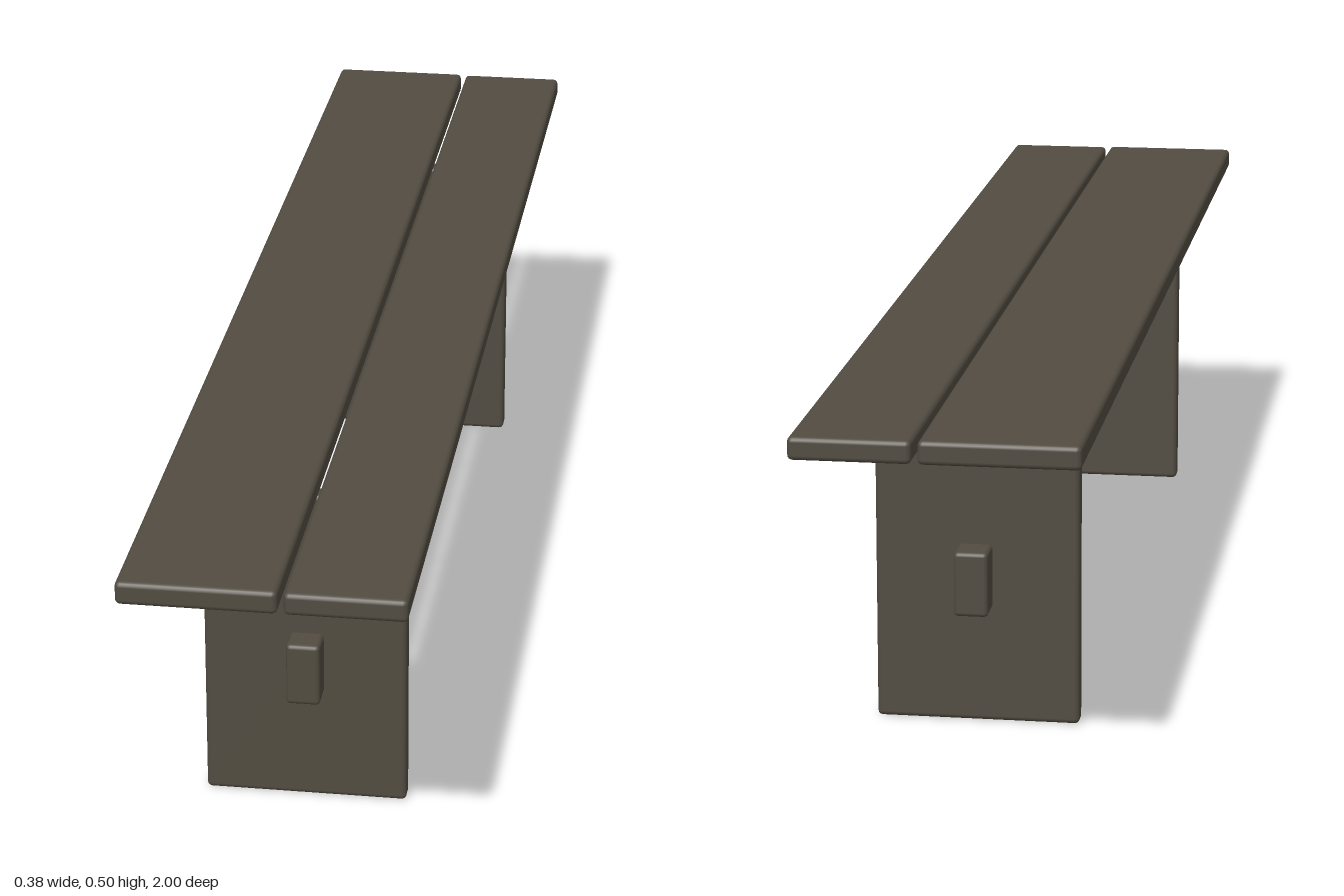
import * as THREE from 'three';
import { RoundedBoxGeometry } from 'three/addons/geometries/RoundedBoxGeometry.js';

export function createModel() {
  const bench = new THREE.Group();
  bench.name = 'bench';

  const darkWood = new THREE.MeshStandardMaterial({ color: 0x524c41 });
  darkWood.name = 'darkWood';

  // A board with softened edges, given by its [min, max] extents
  function board(name, [x0, x1], [y0, y1], [z0, z1], radius = 0.007) {
    const geometry = new RoundedBoxGeometry(x1 - x0, y1 - y0, z1 - z0, 2, radius);
    const mesh = new THREE.Mesh(geometry, darkWood);
    mesh.name = name;
    mesh.position.set((x0 + x1) / 2, (y0 + y1) / 2, (z0 + z1) / 2);
    bench.add(mesh);
  }

  // Seat: a wide and a narrow plank with a gap between them
  board('wideSeatPlank', [-0.19, 0.02], [0.463, 0.495], [-1, 1]);
  board('narrowSeatPlank', [0.028, 0.188], [0.463, 0.494], [-1, 1]);

  // Slab legs
  board('frontLeg', [-0.141, 0.141], [0, 0.464], [0.618, 0.648]);
  board('backLeg', [-0.141, 0.141], [0, 0.464], [-0.643, -0.613]);

  // Stretcher beam passing through both legs
  board('stretcher', [-0.021, 0.026], [0.163, 0.254], [-0.688, 0.688], 0.006);

  return bench;
}
